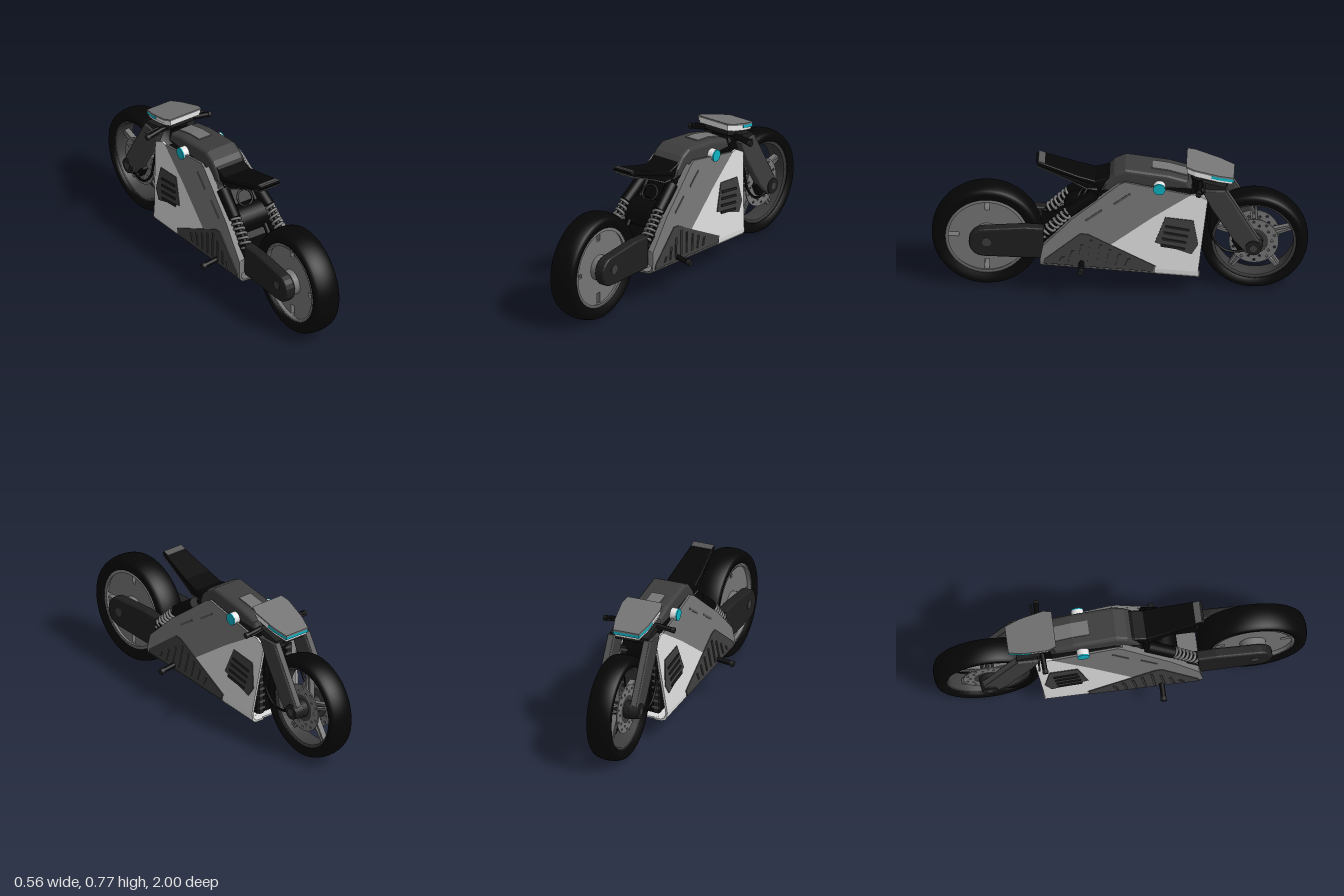
import * as THREE from 'three';

const mat = (name, color) => {
  const m = new THREE.MeshStandardMaterial({ color });
  m.name = name;
  return m;
};

export function createModel() {
  const root = new THREE.Group();
  root.name = 'motorcycle';
  const black = mat('rubberBlack', 0x060606);
  const charcoal = mat('charcoal', 0x1f1f1f);
  const dark = mat('darkGrey', 0x3d3d3d);
  const slate = mat('slateGrey', 0x565656);
  const grey = mat('midGrey', 0x757575);
  const silver = mat('silver', 0xdadada);
  const white = mat('white', 0xe8e8e8);
  const cyan = mat('cyanLight', 0x0fb4c6);

  const add = (name, geo, m) => {
    const mesh = new THREE.Mesh(geo, m);
    mesh.name = name;
    root.add(mesh);
  };
  // Mirrored copy across x = 0: flip x, then swap two corners of each face
  const mirror = (geo) => {
    const g = geo.index ? geo.toNonIndexed() : geo.clone();
    for (const key of ['position', 'normal']) {
      const a = g.attributes[key];
      for (let i = 0; i < a.count; i += 3) {
        const [p, q, r] = [0, 2, 1].map((k) => [-a.getX(i + k), a.getY(i + k), a.getZ(i + k)]);
        a.setXYZ(i, ...p);
        a.setXYZ(i + 1, ...q);
        a.setXYZ(i + 2, ...r);
      }
    }
    return g;
  };
  const both = (name, geo, m) => {
    add(name + 'Left', geo, m);
    add(name + 'Right', mirror(geo), m);
  };
  const shear = (geo, fn) => {
    const p = geo.attributes.position, v = new THREE.Vector3();
    for (let i = 0; i < p.count; i++) {
      fn(v.fromBufferAttribute(p, i));
      p.setXYZ(i, v.x, v.y, v.z);
    }
    geo.computeVertexNormals();
    return geo;
  };
  const shapeOf = (pts) => new THREE.Shape(pts.map((p) => new THREE.Vector2(...p)));
  // Side profile given as [z, y], running from x0 to x1
  const profile = (pts, x0, x1, b = 0) => new THREE.ExtrudeGeometry(shapeOf(pts.map(([z, y]) => [-z, y])), {
    depth: x1 - x0 - 2 * b, bevelEnabled: b > 0, bevelSize: b, bevelThickness: b, bevelOffset: -b, bevelSegments: 3,
  }).rotateY(Math.PI / 2).translate(x0 + b, 0, 0);
  // Leaning outer skin of the bodywork
  const skinX = (z, y) => 0.191 + 0.04 * z - 0.097 * y;
  const panel = (pts, off = 0, t = 0.012) => shear(profile(pts, off - t, off), (v) => { v.x += skinX(v.z, v.y); });
  const rod = (a, b, r, r2 = r) => {
    const p = new THREE.Vector3(...a), q = new THREE.Vector3(...b), d = q.clone().sub(p);
    const quat = new THREE.Quaternion().setFromUnitVectors(new THREE.Vector3(0, 1, 0), d.clone().normalize());
    return new THREE.CylinderGeometry(r2, r, d.length(), 24).applyQuaternion(quat).translate(...p.add(q).multiplyScalar(0.5).toArray());
  };
  const box = (w, h, d, x, y, z, rx = 0) => new THREE.BoxGeometry(w, h, d).rotateX(rx).translate(x, y, z);
  const ring = (pts, y, z) => new THREE.LatheGeometry(pts.map(([r, x]) => new THREE.Vector2(r, x)), 64)
    .rotateZ(Math.PI / 2).translate(0, y, z);
  const disc = (shape, x0, depth, y, z) => new THREE.ExtrudeGeometry(shape, { depth, bevelEnabled: false, curveSegments: 40 })
    .rotateY(Math.PI / 2).translate(x0, y, z);
  const circle = (r, x = 0, y = 0) => new THREE.Path().absarc(x, y, r, 0, Math.PI * 2, true);
  const discShape = (r) => new THREE.Shape().absarc(0, 0, r, 0, Math.PI * 2, false);

  // Tyres
  const tyre = (R, w, ri) => {
    const half = [[ri, 0.8], [R * 0.83, 0.95], [R * 0.89, 1], [R * 0.925, 0.98], [R * 0.95, 0.9], [R * 0.97, 0.74], [R * 0.987, 0.5], [R * 0.997, 0.25]];
    return [...half.map(([r, k]) => [r, -k * w]), [R, 0], ...half.reverse().map(([r, k]) => [r, k * w]), [ri, -0.8 * w]];
  };
  const RY = 0.296, RZ = 0.705, FY = 0.289, FZ = -0.713;
  add('rearTyre', ring(tyre(0.295, 0.076, 0.22), RY, RZ), black);
  add('frontTyre', ring(tyre(0.287, 0.07, 0.225), FY, FZ), black);

  // Rear wheel: solid disc with four slots
  const rear = discShape(0.222);
  for (let i = 0; i < 4; i++) {
    const a = i * Math.PI / 2, c = Math.cos(a), s = Math.sin(a);
    rear.holes.push(new THREE.Path([[0.15, -0.012], [0.15, 0.012], [0.212, 0.012], [0.212, -0.012]]
      .map(([u, v]) => new THREE.Vector2(u * c - v * s, u * s + v * c))));
  }
  add('rearWheelDisc', disc(rear, -0.04, 0.08, RY, RZ), grey);
  add('rearRim', ring([[0.205, -0.06], [0.224, -0.062], [0.224, 0.062], [0.205, 0.06], [0.213, 0.04], [0.213, -0.04], [0.205, -0.06]], RY, RZ), grey);
  add('rearHub', rod([-0.095, RY, RZ], [0.095, RY, RZ], 0.07), grey);

  // Front wheel: rim, five twin spokes, drilled brake discs
  add('frontRim', ring([[0.21, -0.045], [0.23, -0.055], [0.23, 0.055], [0.21, 0.045], [0.21, -0.045]], FY, FZ), dark);
  for (let i = 0; i < 5; i++) for (const s of [-1, 1]) {
    const g = new THREE.BoxGeometry(0.03, 0.175, 0.012).rotateX(s * -0.05).translate(0, 0.128, s * 0.013);
    add('frontSpoke', g.rotateX(i * Math.PI * 0.4).translate(0, FY, FZ), grey);
  }
  const brake = discShape(0.132);
  brake.holes.push(circle(0.075));
  for (let i = 0; i < 20; i++) {
    const a = i * Math.PI / 10, r = i % 2 ? 0.115 : 0.095;
    brake.holes.push(circle(0.007, r * Math.cos(a), r * Math.sin(a)));
  }
  both('brakeDisc', disc(brake, 0.046, 0.006, FY, FZ), grey);
  add('frontHub', rod([-0.08, FY, FZ], [0.08, FY, FZ], 0.05), charcoal);
  both('discCarrier', rod([0.04, FY, FZ], [0.05, FY, FZ], 0.082), dark);

  // Front fork, axle caps, brake hose
  both('forkLeg', profile([[-0.44, 0.63], [-0.565, 0.635], [-0.61, 0.56], [-0.745, 0.325], [-0.75, 0.27],
    [-0.675, 0.25], [-0.61, 0.325], [-0.49, 0.52]], 0.08, 0.126, 0.01), dark);
  both('forkFrontPlate', profile([[-0.572, 0.63], [-0.613, 0.56], [-0.745, 0.33], [-0.738, 0.325], [-0.605, 0.555], [-0.565, 0.625]], 0.088, 0.118), slate);
  both('axleCap', rod([0.075, FY, FZ], [0.132, FY, FZ], 0.05, 0.042), charcoal);
  both('axleBolt', rod([0.13, FY, FZ], [0.135, FY, FZ], 0.02), dark);
  both('caliper', box(0.03, 0.07, 0.06, 0.09, 0.3, -0.64, 0.5), black);
  const hose = new THREE.CatmullRomCurve3([[0.1, 0.55, -0.47], [0.12, 0.45, -0.475], [0.125, 0.34, -0.5], [0.125, 0.27, -0.57],
    [0.12, 0.27, -0.66], [0.11, 0.29, -0.7]].map((p) => new THREE.Vector3(...p)));
  both('brakeHose', new THREE.TubeGeometry(hose, 40, 0.007, 8), black);
  add('forkClamp', box(0.22, 0.035, 0.13, 0, 0.645, -0.5, -0.25), charcoal);
  add('steeringHead', rod([0, 0.56, -0.44], [0, 0.69, -0.41], 0.04), black);

  // Handlebars, levers and foot pegs
  both('handlebar', rod([0, 0.672, -0.43], [0.13, 0.665, -0.43], 0.01), black);
  both('grip', rod([0.1, 0.668, -0.43], [0.195, 0.653, -0.425], 0.014), black);
  both('gripEnd', rod([0.188, 0.655, -0.425], [0.205, 0.652, -0.424], 0.016), charcoal);
  both('lever', rod([0.08, 0.672, -0.45], [0.19, 0.66, -0.455], 0.005), charcoal);
  both('footPeg', rod([0.15, 0.217, 0.2], [0.265, 0.203, 0.2], 0.014), black);
  both('footPegEnd', rod([0.255, 0.204, 0.2], [0.275, 0.201, 0.2], 0.017), charcoal);

  // Headlamp cowl: stacked layers sloping down to the front, with a light strip round the nose
  const cowlLine = [[-0.1, 0.355], [0.1, 0.355], [0.112, 0.4], [0.098, 0.53], [0.075, 0.608], [-0.075, 0.608], [-0.098, 0.53], [-0.112, 0.4]];
  const cowl = (k, y0, h, pts = cowlLine) => shear(new THREE.ExtrudeGeometry(
    shapeOf(pts.map(([x, z]) => [x * k, 0.48 + (z - 0.48) * k])), { depth: h, bevelEnabled: false })
    .rotateX(-Math.PI / 2), (v) => { v.y += y0 + 0.32 * (v.z + 0.35); });
  add('cowlTop', cowl(1, 0.758, 0.01), grey);
  add('cowlLight', cowl(0.998, 0.742, 0.016, [[-0.103, 0.49], [0.103, 0.49], [0.098, 0.53], [0.075, 0.608], [-0.075, 0.608], [-0.098, 0.53]]), cyan);
  add('cowlBand', cowl(0.975, 0.74, 0.018), white);
  add('cowlLower', cowl(0.94, 0.726, 0.014), white);
  add('cowlInner', cowl(0.75, 0.695, 0.033), charcoal);

  // Tank and seat
  add('tank', profile([[0.1, 0.6], [0.08, 0.655], [0.03, 0.71], [-0.03, 0.738], [-0.26, 0.705], [-0.365, 0.675], [-0.385, 0.62],
    [-0.1, 0.63]], -0.096, 0.096, 0.02), dark);
  add('tankPlate', profile([[-0.17, 0.724], [-0.26, 0.711], [-0.36, 0.682], [-0.36, 0.672], [-0.26, 0.7], [-0.17, 0.712]], -0.04, 0.04), grey);
  const taper = (v) => { v.x *= 1 - 0.28 * Math.max(0, (v.z - 0.18) / 0.26); };
  add('seat', shear(profile([[0.445, 0.75], [0.42, 0.755], [0.22, 0.685], [0.13, 0.66], [0.07, 0.675], [0.01, 0.71], [0.0, 0.66], [0.09, 0.61],
    [0.17, 0.61], [0.25, 0.65], [0.435, 0.73]], -0.084, 0.084, 0.008), taper), black);
  add('seatUnderside', shear(profile([[0.44, 0.735], [0.435, 0.725], [0.25, 0.645], [0.17, 0.604], [0.12, 0.604], [0.12, 0.615],
    [0.17, 0.62], [0.25, 0.66]], -0.08, 0.08), taper), grey);
  add('seatTip', box(0.118, 0.008, 0.036, 0, 0.752, 0.416, -0.34), slate);
  for (let i = 0; i < 3; i++) add('seatSlot', box(0.075, 0.006, 0.01, 0, 0.661 + i * 0.025, 0.295 + i * 0.058, -0.4), grey);

  // Inner frame and power unit
  add('core', profile([[0.3, 0.2], [-0.4, 0.14], [-0.418, 0.5], [-0.38, 0.59], [-0.04, 0.655], [0.1, 0.585], [0.2, 0.45], [0.28, 0.33]], -0.105, 0.105), black);
  add('motor', rod([-0.095, 0.43, 0.22], [0.095, 0.43, 0.22], 0.08), black);
  add('motorRing', new THREE.TorusGeometry(0.045, 0.006, 10, 32).rotateX(-0.6).translate(0, 0.54, 0.2), charcoal);
  both('subframe', rod([0.07, 0.34, 0.33], [0.065, 0.62, 0.1], 0.014), black);
  for (let i = 0; i < 9; i++) both('frontLouver', box(0.04, 0.014, 0.02, 0.09, 0.18 + i * 0.038, -0.418, 0.4), dark);
  both('frontCheek', box(0.03, 0.36, 0.02, 0.095, 0.33, -0.415), charcoal);

  // Body side panels, the grey one with a deep rear lip
  both('mainPanel', panel([[0.42, 0.23], [0.405, 0.31], [0.25, 0.465], [0.13, 0.56], [0.0, 0.665], [-0.03, 0.678], [-0.38, 0.602],
    [-0.18, 0.475], [0.045, 0.315], [-0.2, 0.19], [-0.19, 0.176]]), grey);
  both('rearLip', panel([[0.415, 0.235], [0.403, 0.31], [0.25, 0.463], [0.13, 0.558], [0.0, 0.663], [-0.012, 0.655], [0.12, 0.545],
    [0.24, 0.452], [0.39, 0.302], [0.4, 0.235]], -0.002, 0.033), grey);
  both('silverPanel', panel([[-0.38, 0.602], [-0.41, 0.605], [-0.47, 0.57], [-0.42, 0.155], [-0.19, 0.176], [-0.2, 0.19], [0.045, 0.315], [-0.18, 0.475]]), silver);
  both('lowerVent', panel([[0.4, 0.212], [0.395, 0.235], [0.205, 0.383], [0.165, 0.378], [-0.19, 0.193], [-0.18, 0.16]], 0.004, 0.008), dark);
  for (let i = 0; i < 8; i++) {
    const z = 0.32 - i * 0.05, h = i < 3 ? 0.25 + i * 0.035 : 0.345 - (i - 3) * 0.027;
    both('lowerVentRib', panel([[z, 0.225 - i * 0.004], [z - 0.012, 0.225 - i * 0.004], [z - 0.03, h], [z - 0.018, h]], 0.009, 0.007), dark);
  }
  both('sideVent', panel([[-0.245, 0.475], [-0.395, 0.455], [-0.42, 0.315], [-0.385, 0.26], [-0.19, 0.33]], 0.004, 0.008), dark);
  for (let i = 0; i < 4; i++) {
    const y = 0.43 - i * 0.036, z = -0.245 + i * 0.008;
    both('sideVentSlat', panel([[z, y], [z - 0.13, y - 0.025], [z - 0.13, y - 0.037], [z, y - 0.014]], 0.009, 0.006), charcoal);
  }
  for (const [z, y] of [[0.18, 0.46], [0.03, 0.555]]) {
    both('panelSlot', panel([[z, y], [z - 0.085, y + 0.06], [z - 0.09, y + 0.05], [z - 0.005, y - 0.01]], 0.003, 0.005), slate);
  }

  // Curled lower edge, following the rake of the belly
  const curl = (z0, z1) => shear(new THREE.ExtrudeGeometry(shapeOf([[0.172, 0.194], [0.16, 0.194], [0.16, 0.178], [0.152, 0.165],
    [0.135, 0.158], [0.095, 0.157], [0.095, 0.148], [0.14, 0.148], [0.16, 0.155], [0.171, 0.17]]),
  { depth: z1 - z0, bevelEnabled: false }).translate(0, 0, z0), (v) => { v.x += 0.031 * v.z; v.y += 0.09 * v.z; });
  both('lowerEdgeRear', curl(-0.19, 0.42), grey);
  both('lowerEdgeFront', curl(-0.425, -0.19), silver);
  add('bellyRear', box(0.24, 0.01, 0.12, 0, 0.18, 0.355, -0.09), grey);
  add('bellyFront', box(0.2, 0.01, 0.06, 0, 0.118, -0.385, -0.09), silver);

  // Side lamps
  const lampX = skinX(-0.21, 0.642) + 0.008;
  both('lampHousing', rod([0.095, 0.642, -0.213], [lampX, 0.642, -0.213], 0.033), white);
  both('lampLens', rod([lampX, 0.642, -0.213], [lampX + 0.007, 0.642, -0.213], 0.0325), cyan);

  // Swingarm
  const arm = [[0.4, 0.21], [0.4, 0.395], [0.5, 0.4]];
  for (let i = 0; i <= 10; i++) {
    const a = Math.PI / 2 - i * Math.PI / 10;
    arm.push([0.72 + 0.08 * Math.cos(a), 0.302 + 0.083 * Math.sin(a)]);
  }
  both('swingarm', profile(arm, 0.083, 0.143, 0.012), charcoal);
  both('swingarmBolt', rod([0.13, 0.31, RZ], [0.147, 0.31, RZ], 0.025), dark);
  both('swingarmPivot', box(0.06, 0.15, 0.16, 0.11, 0.3, 0.34), black);

  // Shock absorbers
  const lo = new THREE.Vector3(0.115, 0.35, 0.405), hi = new THREE.Vector3(0.11, 0.485, 0.268);
  const axis = hi.clone().sub(lo).normalize(), u = new THREE.Vector3(1, 0, 0), w = axis.clone().cross(u).normalize();
  const coil = [];
  for (let i = 0; i <= 84; i++) {
    const a = i / 12 * Math.PI * 2;
    coil.push(lo.clone().lerp(hi, i / 84).addScaledVector(u, 0.025 * Math.cos(a)).addScaledVector(w, 0.025 * Math.sin(a)));
  }
  both('spring', new THREE.TubeGeometry(new THREE.CatmullRomCurve3(coil), 200, 0.008, 8), grey);
  both('shockShaft', rod(lo.toArray(), hi.toArray(), 0.014), black);
  both('shockBody', rod(hi.toArray(), [0.095, 0.585, 0.13], 0.032), black);
  return root;
}
